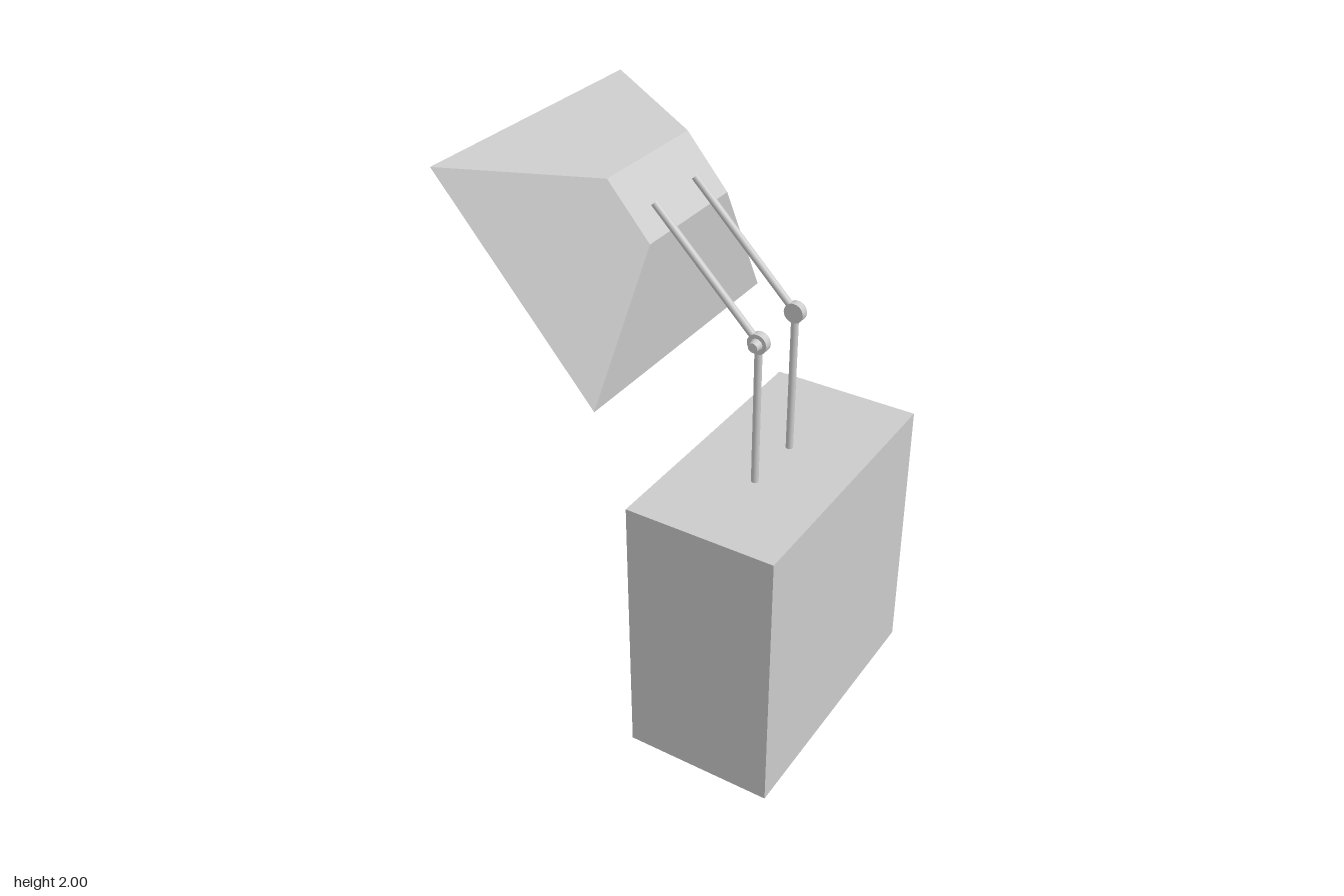
import * as THREE from 'three';

const material = new THREE.MeshStandardMaterial({ color: 0xcccccc });
const flat = new THREE.MeshStandardMaterial({ color: 0xcccccc, flatShading: true, side: THREE.DoubleSide });

function addMesh(parent, name, geometry, mat = material) {
  const mesh = new THREE.Mesh(geometry, mat);
  mesh.name = name;
  parent.add(mesh);
  return mesh;
}

// Round bar between two points
function addRod(parent, name, from, to, radius) {
  const dir = to.clone().sub(from);
  const rod = addMesh(parent, name, new THREE.CylinderGeometry(radius, radius, dir.length(), 16));
  rod.position.copy(from).addScaledVector(dir, 0.5);
  rod.quaternion.setFromUnitVectors(new THREE.Vector3(0, 1, 0), dir.normalize());
}

// Hollow tapered shade: four-cornered loops joined in order, outside then inside
function shadeGeometry() {
  const loop = (x0, y0, x1, y1, zBack, zFront) => [
    new THREE.Vector3(x0, y0, zBack), new THREE.Vector3(x0, y0, zFront),
    new THREE.Vector3(x1, y1, zFront), new THREE.Vector3(x1, y1, zBack),
  ];
  const cap = loop(-0.145, 1.965, 0.003, 1.79, -0.21, 0.235);
  const rim = loop(-0.585, 2.0, -0.028, 1.338, -0.48, 0.505);
  const centre = rim[0].clone().add(rim[2]).multiplyScalar(0.5);
  const inset = (pts) => pts.map((p) => p.clone().lerp(centre, 0.035));
  const loops = [cap, rim, inset(rim), inset(cap)];

  const positions = [];
  const quad = (a, b, c, d) => [a, b, c, a, c, d].forEach((p) => positions.push(p.x, p.y, p.z));
  for (let k = 0; k < 3; k++) {
    for (let i = 0; i < 4; i++) {
      const j = (i + 1) % 4;
      quad(loops[k][i], loops[k + 1][i], loops[k + 1][j], loops[k][j]);
    }
  }
  quad(...loops[0]);
  quad(...[...loops[3]].reverse());
  const geometry = new THREE.BufferGeometry();
  geometry.setAttribute('position', new THREE.Float32BufferAttribute(positions, 3));
  geometry.computeVertexNormals();
  return geometry;
}

export function createModel() {
  const model = new THREE.Group();
  model.name = 'lamp';

  // Solid block base
  const base = addMesh(model, 'base', new THREE.BoxGeometry(0.53, 0.99, 0.985));
  base.position.set(0.32, 0.495, -0.0175);

  addMesh(model, 'shade', shadeGeometry(), flat);

  // Two jointed arms, mirrored about their common middle
  for (const side of [1, -1]) {
    const arm = new THREE.Group();
    arm.name = side > 0 ? 'frontArm' : 'backArm';
    arm.position.z = 0.0125 + side * 0.115;
    model.add(arm);

    const hinge = new THREE.Vector3(0.32, 1.5, 0);
    addRod(arm, 'post', new THREE.Vector3(0.32, 0.98, 0), hinge, 0.0125);
    addRod(arm, 'upperArm', hinge, new THREE.Vector3(-0.05, 1.87, 0), 0.0125);

    // Hinge disc with a tapered knob on the outer side
    const disc = addMesh(arm, 'hingeDisc', new THREE.CylinderGeometry(0.034, 0.034, 0.028, 24));
    disc.position.copy(hinge);
    disc.rotation.x = Math.PI / 2;
    const knob = addMesh(arm, 'hingeKnob', new THREE.CylinderGeometry(0.016, 0.021, 0.025, 16));
    knob.position.set(0.32, 1.5, side * 0.0255);
    knob.rotation.x = side * Math.PI / 2;
  }
  return model;
}
